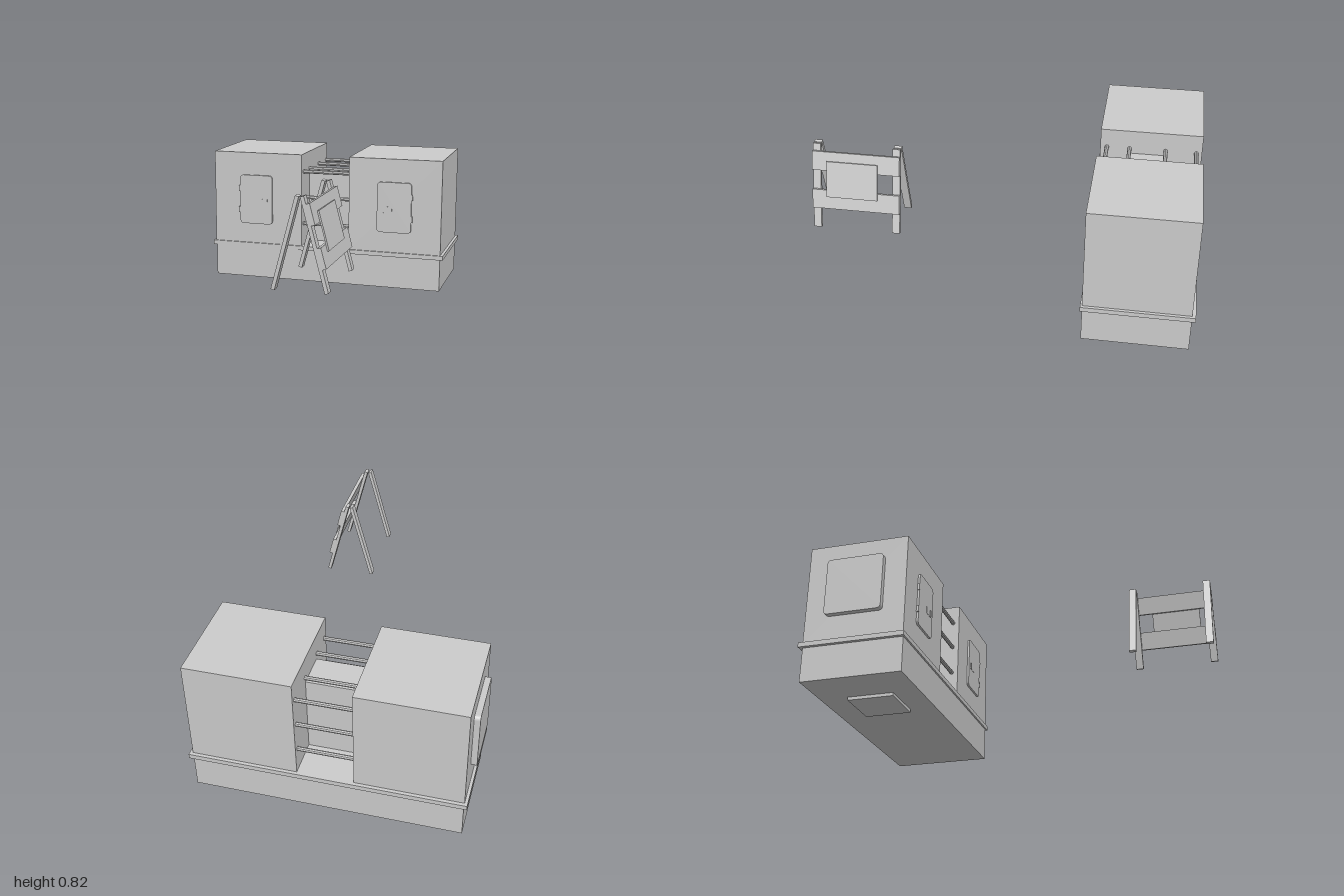
import * as THREE from 'three';

const material = new THREE.MeshStandardMaterial({ color: 0xcccccc, flatShading: true });

function add(parent, name, geometry, x = 0, y = 0, z = 0) {
  const mesh = new THREE.Mesh(geometry, material);
  mesh.name = name;
  mesh.position.set(x, y, z);
  parent.add(mesh);
  return mesh;
}

// Box given by its lower and upper limits on each axis
function span(parent, name, [x0, x1], [y0, y1], [z0, z1]) {
  return add(parent, name, new THREE.BoxGeometry(x1 - x0, y1 - y0, z1 - z0),
    (x0 + x1) / 2, (y0 + y1) / 2, (z0 + z1) / 2);
}

// Rounded plate, back face on local z = 0
function plate(w, h, depth, r) {
  const x = w / 2, y = h / 2, s = new THREE.Shape();
  s.moveTo(-x + r, -y);
  s.lineTo(x - r, -y);
  s.absarc(x - r, -y + r, r, -Math.PI / 2, 0);
  s.absarc(x - r, y - r, r, 0, Math.PI / 2);
  s.absarc(-x + r, y - r, r, Math.PI / 2, Math.PI);
  s.absarc(-x + r, -y + r, r, Math.PI, Math.PI * 1.5);
  return new THREE.ExtrudeGeometry(s, { depth, bevelEnabled: false, curveSegments: 4 });
}

// Access door; side = -1 puts the hinges towards -x, +1 towards +x
function addDoor(parent, side) {
  const door = new THREE.Group();
  door.name = side < 0 ? 'rightDoor' : 'leftDoor';
  door.position.set(side * 0.418, 0.493, -0.441);
  add(door, 'doorPanel', plate(0.2, 0.293, 0.011, 0.02));
  for (const y of [0.064, -0.063]) {
    add(door, 'hinge', new THREE.BoxGeometry(0.012, 0.034, 0.012), side * 0.102, y, 0.007);
  }
  add(door, 'handlePlate', new THREE.BoxGeometry(0.06, 0.036, 0.004), -side * 0.042, -0.013, 0.0105);
  add(door, 'handle', new THREE.BoxGeometry(0.011, 0.036, 0.007), -side * 0.066, -0.013, 0.0125);
  parent.add(door);
}

function createUnit() {
  const unit = new THREE.Group();
  unit.name = 'cabinetUnit';
  const depth = [-0.982, -0.441];

  // Plinth, rim and underside hatch
  span(unit, 'base', [-0.677, 0.689], [0.017, 0.21], depth);
  span(unit, 'rim', [-0.695, 0.706], [0.203, 0.228], [-1, -0.432]);
  span(unit, 'bottomHatch', [-0.432, -0.186], [0, 0.02], [-0.83, -0.58]);

  // Two cabinets with a lower core between them
  span(unit, 'rightCabinet', [-0.68, -0.138], [0.225, 0.773], depth);
  span(unit, 'leftCabinet', [0.149, 0.69], [0.225, 0.773], depth);
  span(unit, 'core', [-0.14, 0.151], [0.225, 0.64], [-0.785, -0.605]);

  // Bars bridging the cabinets: four on top, two lower at front and back
  const bars = [[0.67, -0.952], [0.67, -0.79], [0.67, -0.598], [0.67, -0.476]];
  for (const z of [-0.952, -0.476]) bars.push([0.517, z], [0.358, z]);
  for (const [y, z] of bars) {
    add(unit, 'bar', new THREE.CylinderGeometry(0.011, 0.011, 0.31, 8), 0.006, y, z).rotation.z = Math.PI / 2;
  }

  addDoor(unit, -1);
  addDoor(unit, 1);

  // Rounded cover on the end wall
  const cover = add(unit, 'sideCover', plate(0.308, 0.312, 0.032, 0.02), -0.678, 0.518, -0.714);
  cover.rotation.y = -Math.PI / 2;
  return unit;
}

function createBarricade() {
  const barricade = new THREE.Group();
  barricade.name = 'barricade';
  const tilt = 0.26, legLength = 0.451;

  // Each slanted side hangs down from the apex
  for (const side of [-1, 1]) {
    const frame = new THREE.Group();
    frame.name = side < 0 ? 'rearFrame' : 'boardFrame';
    frame.position.set(0.2995 + side * 0.0115, 0.814, 0.77);
    frame.rotation.z = side * tilt;
    for (const z of [-0.21, 0.21]) {
      add(frame, 'leg', new THREE.BoxGeometry(0.018, legLength, 0.04), 0, -legLength / 2, z);
    }
    if (side > 0) {
      for (const y of [-0.087, -0.291]) {
        add(frame, 'board', new THREE.BoxGeometry(0.018, 0.1, 0.46), 0.018, y, 0);
      }
      add(frame, 'signPanel', new THREE.BoxGeometry(0.008, 0.19, 0.268), 0.031, -0.181, 0.018);
    }
    barricade.add(frame);
  }
  return barricade;
}

export function createModel() {
  const model = new THREE.Group();
  model.name = 'cabinetAndBarricade';
  model.add(createUnit(), createBarricade());
  return model;
}
